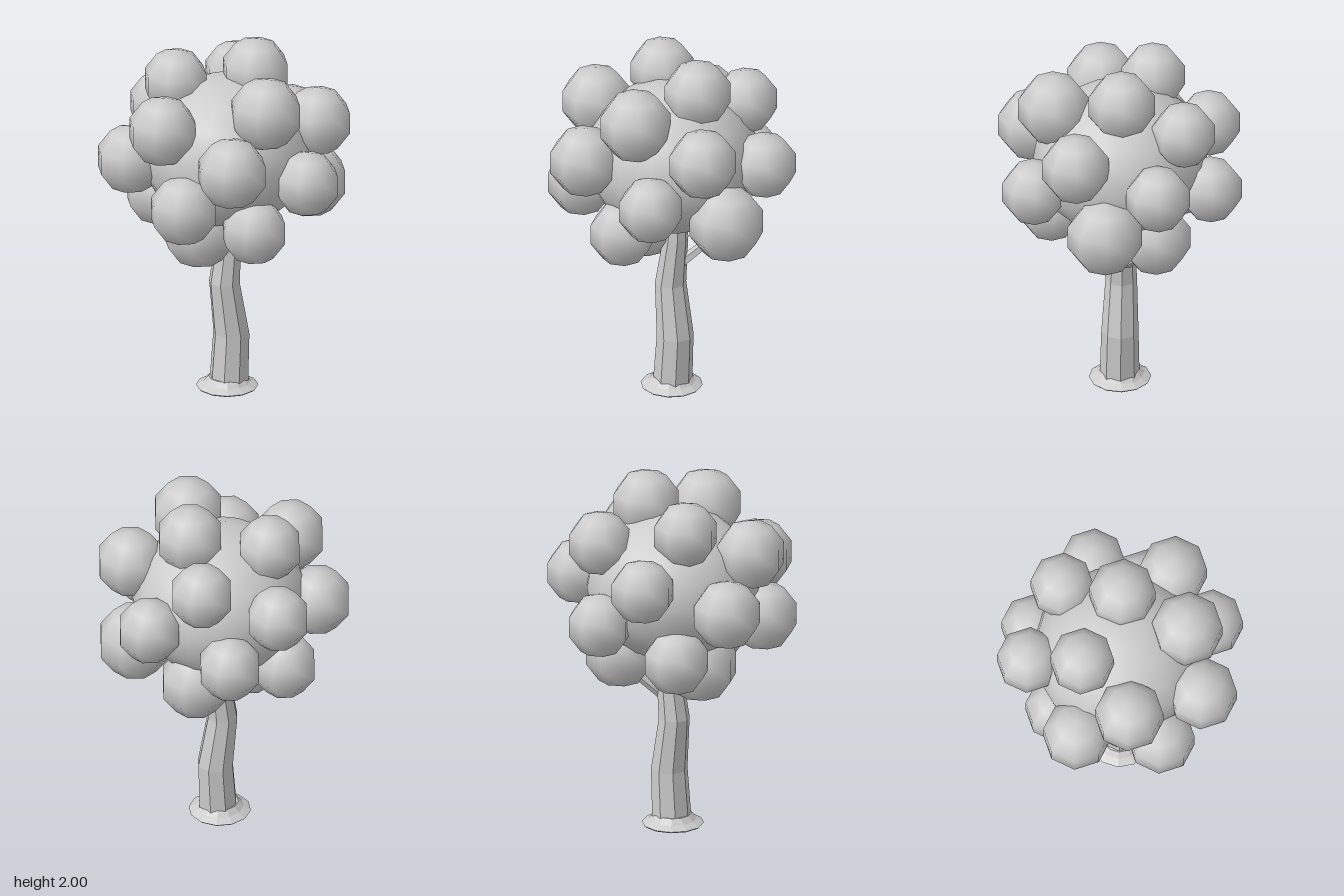
import * as THREE from 'three';

const grey = new THREE.MeshStandardMaterial({ color: 0xcccccc });
grey.name = 'pale grey';

// Stack of eight-sided rings [x, y, z, radius], listed top to bottom, with faceted sides
function ringStack(name, rings, sides) {
  const n = rings.length - 1;
  const geo = new THREE.CylinderGeometry(1, 1, 1, sides, n);
  const p = geo.attributes.position;
  for (let i = 0; i < p.count; i++) {
    const [x, y, z, r] = rings[Math.round((0.5 - p.getY(i)) * n)];
    p.setXYZ(i, x + p.getX(i) * r, y, z + p.getZ(i) * r);
  }
  const flat = geo.toNonIndexed();
  flat.computeVertexNormals();
  const mesh = new THREE.Mesh(flat, grey);
  mesh.name = name;
  return mesh;
}

export function createModel() {
  const tree = new THREE.Group();
  tree.name = 'tree';

  // Gently kinked trunk
  tree.add(ringStack('trunk', [
    [0.03, 1.15, -0.01, 0.05],
    [0.02, 0.9, -0.01, 0.068],
    [-0.013, 0.62, -0.007, 0.085],
    [0.025, 0.32, 0.002, 0.1],
    [0.007, 0, 0.003, 0.108],
  ], 8));

  // Flared foot of the trunk
  tree.add(ringStack('rootFlare', [
    [0, 0.07, 0, 0.1],
    [0, 0.04, 0, 0.128],
    [0, 0.018, 0, 0.168],
    [0, 0.01, 0, 0.16],
  ], 12));

  // Short side branch reaching up into the leaves
  const from = new THREE.Vector3(0.045, 0.745, -0.025);
  const to = new THREE.Vector3(0.21, 0.93, -0.16);
  const dir = to.clone().sub(from);
  const branch = new THREE.Mesh(
    new THREE.CylinderGeometry(0.024, 0.03, dir.length(), 5).toNonIndexed(), grey);
  branch.geometry.computeVertexNormals();
  branch.name = 'branch';
  branch.position.copy(from).add(to).multiplyScalar(0.5);
  branch.quaternion.setFromUnitVectors(new THREE.Vector3(0, 1, 0), dir.normalize());
  tree.add(branch);

  // Large inner ball of the crown
  const core = new THREE.Mesh(new THREE.SphereGeometry(0.47, 16, 10), grey);
  core.name = 'crownCore';
  core.scale.y = 0.88;
  core.position.set(0, 1.39, 0);
  tree.add(core);

  // Leaf clumps: x, y, z, radius
  const clumps = [
    [0.03, 1.72, 0.36, 0.2], [-0.24, 1.465, 0.46, 0.195],
    [-0.45, 1.62, 0.08, 0.193], [0.41, 1.565, 0.26, 0.19],
    [0.22, 1.315, 0.475, 0.18], [-0.42, 1.21, 0.25, 0.19],
    [-0.05, 1.055, 0.37, 0.182], [0.45, 1.16, 0.105, 0.21],
    [-0.175, 0.955, 0.005, 0.205], [0.22, 1.005, -0.18, 0.198],
    [-0.21, 1.765, -0.19, 0.18], [0.175, 1.81, 0, 0.188],
    [-0.485, 1.365, -0.2, 0.19], [0.49, 1.41, -0.18, 0.18],
    [0.25, 1.665, -0.33, 0.178], [-0.13, 1.51, -0.485, 0.177],
    [0.15, 1.26, -0.48, 0.178], [-0.24, 1.08, -0.32, 0.182],
  ];
  const ball = new THREE.SphereGeometry(1, 8, 5);
  const crown = new THREE.Group();
  crown.name = 'crown';
  clumps.forEach(([x, y, z, r], i) => {
    const clump = new THREE.Mesh(ball, grey);
    clump.name = 'leafClump' + (i + 1);
    clump.position.set(x, y, z);
    clump.scale.setScalar(r);
    crown.add(clump);
  });
  tree.add(crown);
  return tree;
}
